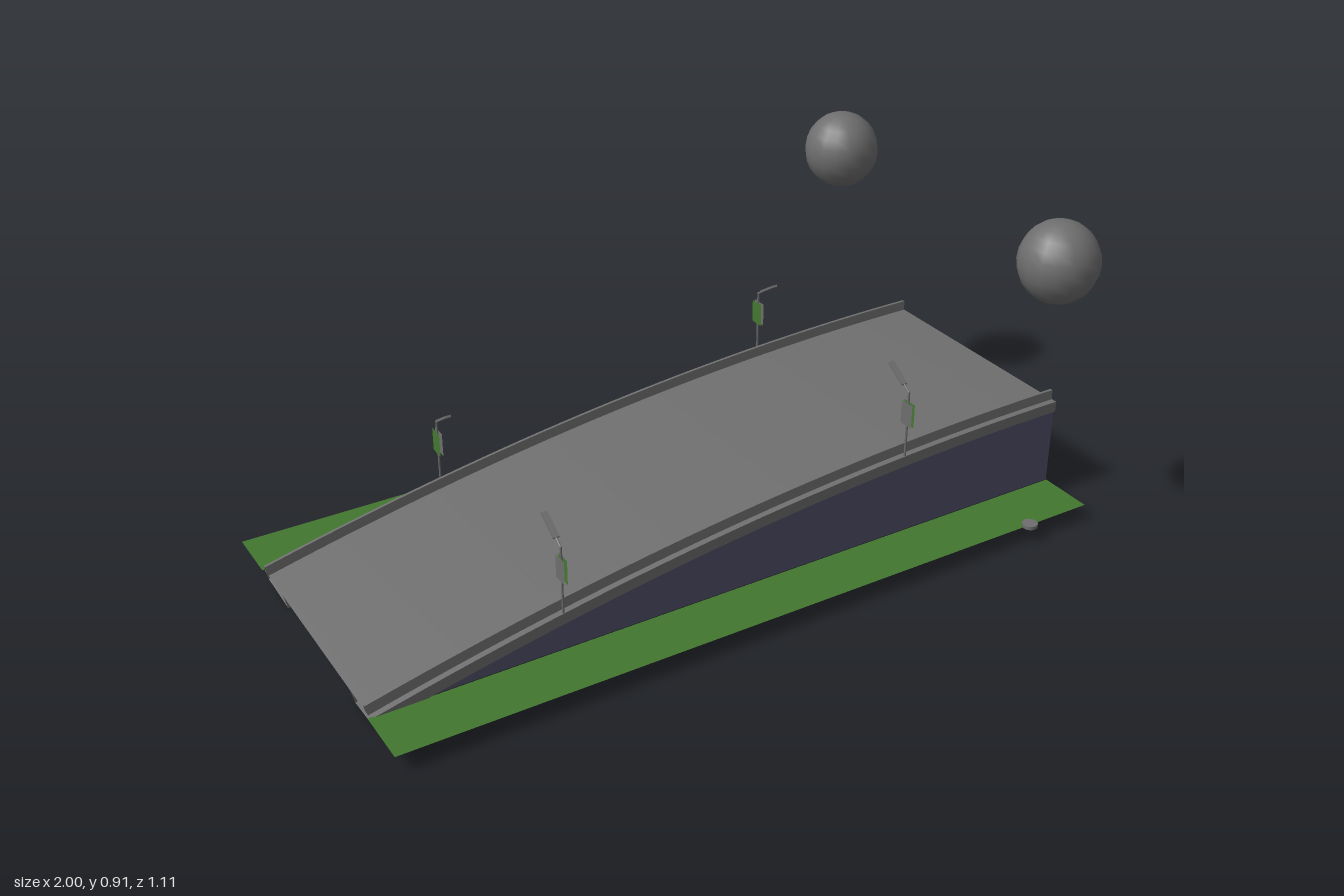
import * as THREE from 'three';

const ZC = -0.048; // centre line of the road
const deckY = (x) => 0.296 - 0.0625 * (1 - x) ** 2;

export function createModel() {
  const model = new THREE.Group();
  const mat = (name, color) => {
    const m = new THREE.MeshStandardMaterial({ color, side: THREE.DoubleSide });
    m.name = name;
    return m;
  };
  const concrete = mat('concrete grey', 0x6e6e6e);
  const wallBlue = mat('wall slate blue', 0x50506a);
  const green = mat('grass green', 0x43772f);

  const add = (parent, name, geometry, material, x = 0, y = 0, z = 0) => {
    const mesh = new THREE.Mesh(geometry, material);
    mesh.name = name;
    mesh.position.set(x, y, z);
    parent.add(mesh);
    return mesh;
  };

  // Road deck: a cross-section (across, height) swept along the curve, one strip per edge
  const N = 40, X0 = -0.9935;
  const sweepStrip = (p, q) => {
    const pos = [], idx = [];
    for (let i = 0; i <= N; i++) {
      const x = X0 + (1 - X0) * i / N;
      const s = 0.125 * (1 - x), len = Math.hypot(1, s);
      for (const [z, h] of [p, q]) pos.push(x - h * s / len, deckY(x) + h / len, ZC + z);
      if (i < N) {
        const a = i * 2;
        idx.push(a, a + 2, a + 1, a + 2, a + 3, a + 1);
      }
    }
    const g = new THREE.BufferGeometry();
    g.setAttribute('position', new THREE.Float32BufferAttribute(pos, 3));
    g.setIndex(idx);
    g.computeVertexNormals();
    return g;
  };
  // Edge girder, kerb and guard rail, mirrored to the other side
  const half = [[0.219, 0], [0.219, -0.045], [0.348, -0.03], [0.348, 0],
    [0.331, 0], [0.329, 0.027], [0.321, 0.027], [0.319, 0]];
  const profile = [...half, ...half.map(([z, h]) => [-z, h]).reverse()];
  const deck = new THREE.Group();
  deck.name = 'roadDeck';
  model.add(deck);
  for (let i = 0; i < profile.length - 1; i++) {
    const name = i === 7 ? 'roadSurface' : 'deckEdge';
    add(deck, name, sweepStrip(profile[i], profile[i + 1]), concrete);
  }

  // Side walls under the deck, and the wall across the high end
  const side = new THREE.Shape();
  const xLow = 1 - Math.sqrt((0.296 - 0.02 - 0.05) / 0.0625);
  side.moveTo(xLow, 0.05);
  side.lineTo(1, 0.05);
  for (let i = 0; i < N; i++) {
    const x = 1 + (xLow - 1) * i / N;
    side.lineTo(x, deckY(x) - 0.02);
  }
  for (const s of [1, -1]) {
    const wall = add(model, 'sideWall', new THREE.ShapeGeometry(side), wallBlue, 0, 0, ZC + s * 0.342);
    if (s < 0) {
      // Turn the far wall outward
      const index = wall.geometry.index.array;
      index.reverse();
      wall.geometry.computeVertexNormals();
    }
  }
  add(model, 'endWall', new THREE.PlaneGeometry(0.684, 0.226).rotateY(Math.PI / 2), wallBlue, 1, 0.163, ZC);

  // Grass verges
  for (const z of [0.373, -0.473]) {
    add(model, 'grassVerge', new THREE.PlaneGeometry(2, 0.154).rotateX(-Math.PI / 2), green, 0, 0.05, z);
  }

  // Street lamps with hanging signs, arms reaching over the road
  const buildLamp = () => {
    const lamp = new THREE.Group();
    lamp.name = 'streetLamp';
    add(lamp, 'pole', new THREE.CylinderGeometry(0.003, 0.003, 0.185, 8), concrete, 0, 0.0925, 0);
    const bend = new THREE.LineCurve3(new THREE.Vector3(0, 0.182, 0), new THREE.Vector3(0, 0.201, -0.026));
    add(lamp, 'arm', new THREE.TubeGeometry(bend, 1, 0.003, 6), concrete);
    const head = add(lamp, 'lampHead', new THREE.BoxGeometry(0.016, 0.006, 0.07), concrete, 0, 0.217, -0.05);
    head.rotation.x = Math.atan2(0.038, 0.058);
    const panel = new THREE.PlaneGeometry(0.043, 0.065);
    add(lamp, 'signFront', panel, green, 0.004, 0.1225, 0).rotation.y = Math.PI / 2;
    add(lamp, 'signBack', panel, concrete, -0.004, 0.1225, 0).rotation.y = -Math.PI / 2;
    return lamp;
  };
  for (const x of [-0.5, 0.494]) {
    for (const s of [1, -1]) {
      const lamp = buildLamp();
      lamp.position.set(x, deckY(x), ZC + s * 0.344);
      if (s < 0) lamp.rotation.y = Math.PI;
      model.add(lamp);
    }
  }

  // Floating spheres above small round bases
  for (const z of [0.452, -0.452]) {
    const ball = add(model, 'sphere', new THREE.SphereGeometry(0.103, 16, 12), concrete, 0.805, 0.812, z);
    ball.scale.y = 1.035;
    add(model, 'sphereBase', new THREE.CylinderGeometry(0.021, 0.021, 0.01, 12), concrete, 0.805, 0.053, z);
  }
  return model;
}
